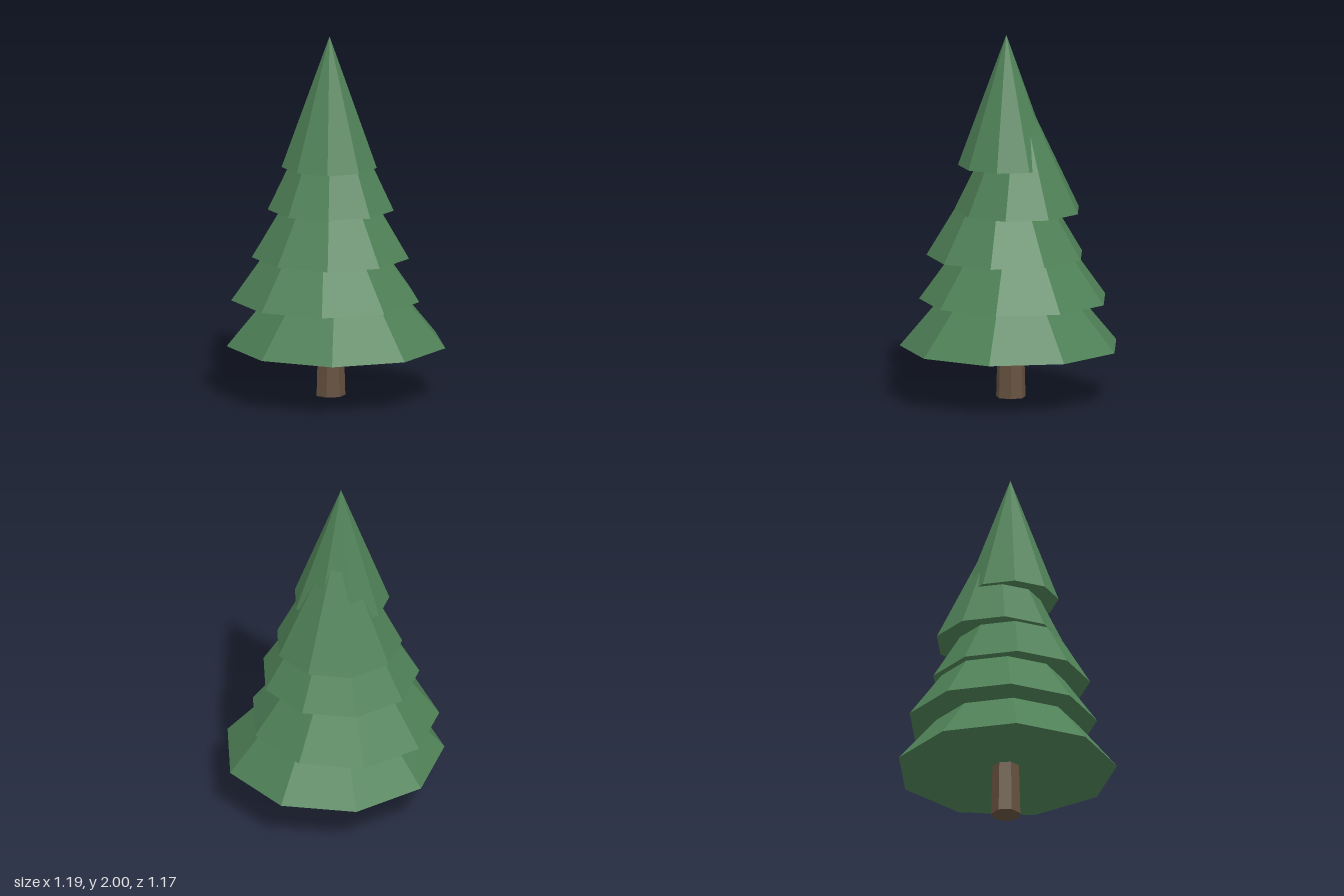
import * as THREE from 'three';

export function createModel() {
  const tree = new THREE.Group();
  tree.name = 'pineTree';

  const needles = new THREE.MeshStandardMaterial({ color: 0x4f8157, flatShading: true });
  const bark = new THREE.MeshStandardMaterial({ color: 0x66523f, flatShading: true });

  // Tapered seven-sided trunk, its top hidden in the lowest tier
  const trunkHeight = 0.42;
  const trunk = new THREE.Mesh(new THREE.CylinderGeometry(0.07, 0.082, trunkHeight, 7), bark);
  trunk.name = 'trunk';
  trunk.position.set(-0.028, trunkHeight / 2, -0.042);
  tree.add(trunk);

  // Overlapping nine-sided cones, each slightly off centre
  const tierHeight = 0.72;
  const tiers = [
    // radius, base y, x, z
    [0.604, 0.287, 0, -0.02],
    [0.519, 0.535, -0.034, -0.073],
    [0.434, 0.783, -0.04, -0.02],
    [0.348, 1.032, 0, -0.07],
    [0.263, 1.28, -0.046, -0.025],
  ];
  tiers.forEach(([radius, y, x, z], i) => {
    const tier = new THREE.Mesh(new THREE.ConeGeometry(radius, tierHeight, 9), needles);
    tier.name = `foliageTier${i + 1}`;
    tier.position.set(x, y + tierHeight / 2, z);
    tree.add(tier);
  });

  return tree;
}
